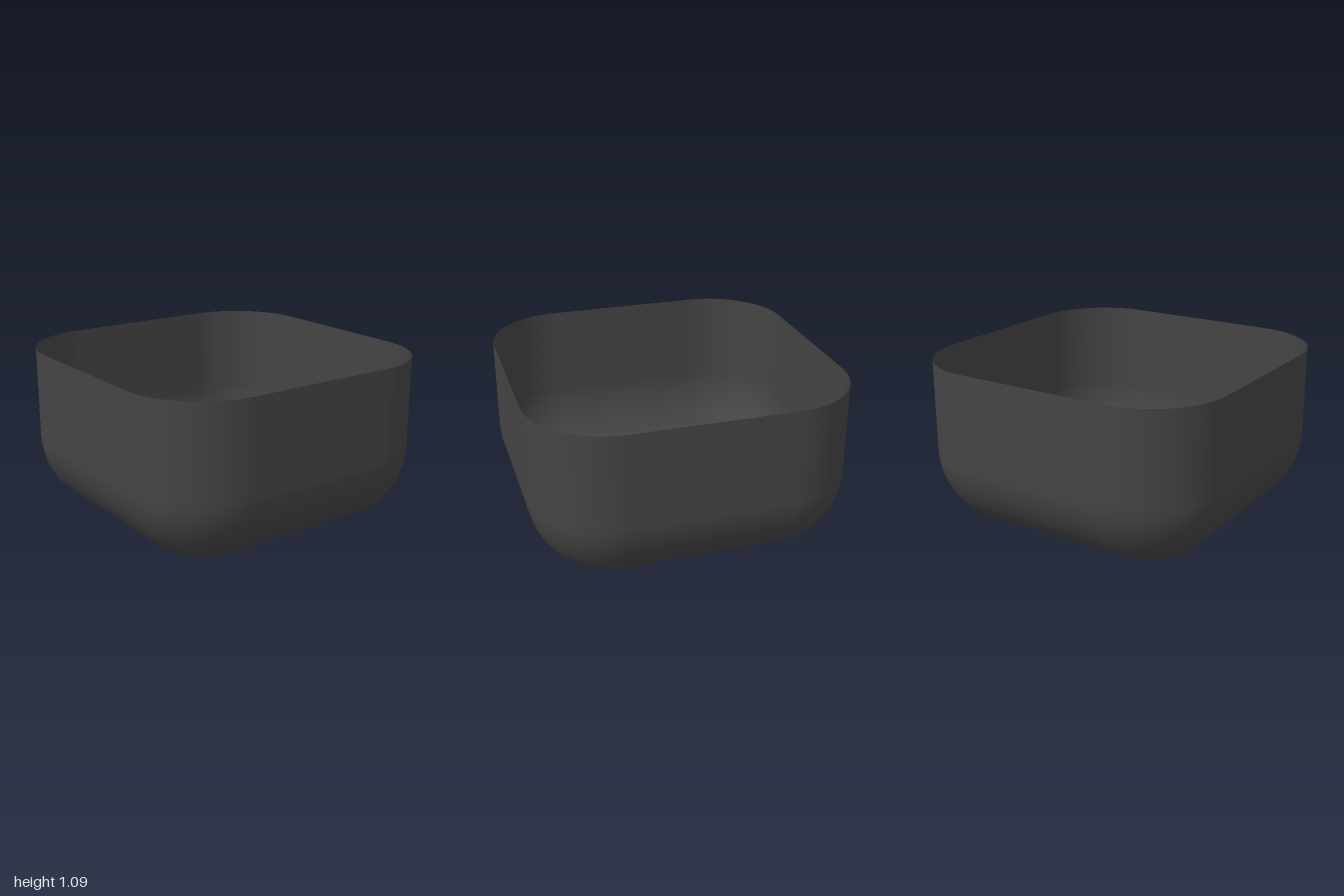
import * as THREE from 'three';

const CORE = 0.5;     // half-size of the flat floor square
const R = 0.5;        // radius of the upright corners and the bottom fillet
const HEIGHT = 1.085;
const CORNER_STEPS = 16;
const FILLET_STEPS = 16;

// Open rounded-square shell, swept as rings from the floor up to the rim
function shellGeometry() {
  const levels = [];
  for (let i = 0; i <= FILLET_STEPS; i++) {
    const p = (i / FILLET_STEPS) * Math.PI / 2;
    levels.push({ r: R * Math.sin(p), y: R - R * Math.cos(p), out: Math.sin(p), down: Math.cos(p) });
  }
  levels.push({ r: R, y: HEIGHT, out: 1, down: 0 });

  const positions = [0, 0, 0], normals = [0, -1, 0], index = [];
  const count = 4 * (CORNER_STEPS + 1);
  for (const { r, y, out, down } of levels) {
    for (let q = 0; q < 4; q++) {
      const cx = q === 0 || q === 3 ? CORE : -CORE;
      const cz = q < 2 ? CORE : -CORE;
      for (let s = 0; s <= CORNER_STEPS; s++) {
        const a = (q + s / CORNER_STEPS) * Math.PI / 2;
        positions.push(cx + r * Math.cos(a), y, cz + r * Math.sin(a));
        normals.push(out * Math.cos(a), -down, out * Math.sin(a));
      }
    }
  }
  for (let j = 0; j < count; j++) {
    const k = (j + 1) % count;
    // floor fan, skipping the coincident corner points
    if (j % (CORNER_STEPS + 1) === CORNER_STEPS) index.push(0, 1 + j, 1 + k);
    for (let l = 0; l < levels.length - 1; l++) {
      const a = 1 + l * count + j, b = 1 + l * count + k;
      if (l > 0 || j % (CORNER_STEPS + 1) === CORNER_STEPS) index.push(a, b + count, b);
      index.push(a, a + count, b + count);
    }
  }
  const g = new THREE.BufferGeometry();
  g.setAttribute('position', new THREE.Float32BufferAttribute(positions, 3));
  g.setAttribute('normal', new THREE.Float32BufferAttribute(normals, 3));
  g.setIndex(index);
  return g;
}

export function createModel() {
  const group = new THREE.Group();
  group.name = 'openContainer';
  const material = new THREE.MeshStandardMaterial({ color: 0x444444, side: THREE.DoubleSide });
  const add = (name, geometry, x, y, z) => {
    const mesh = new THREE.Mesh(geometry, material);
    mesh.name = name;
    mesh.position.set(x, y, z);
    group.add(mesh);
  };

  add('shell', shellGeometry(), 0, 0, 0);
  // Small raised details in the middle of the floor
  add('floorPlate', new THREE.BoxGeometry(0.17, 0.006, 0.075), -0.015, 0.003, 0.003);
  add('floorStud', new THREE.CylinderGeometry(0.03, 0.03, 0.006, 6), 0.02, 0.003, 0.068);
  return group;
}
